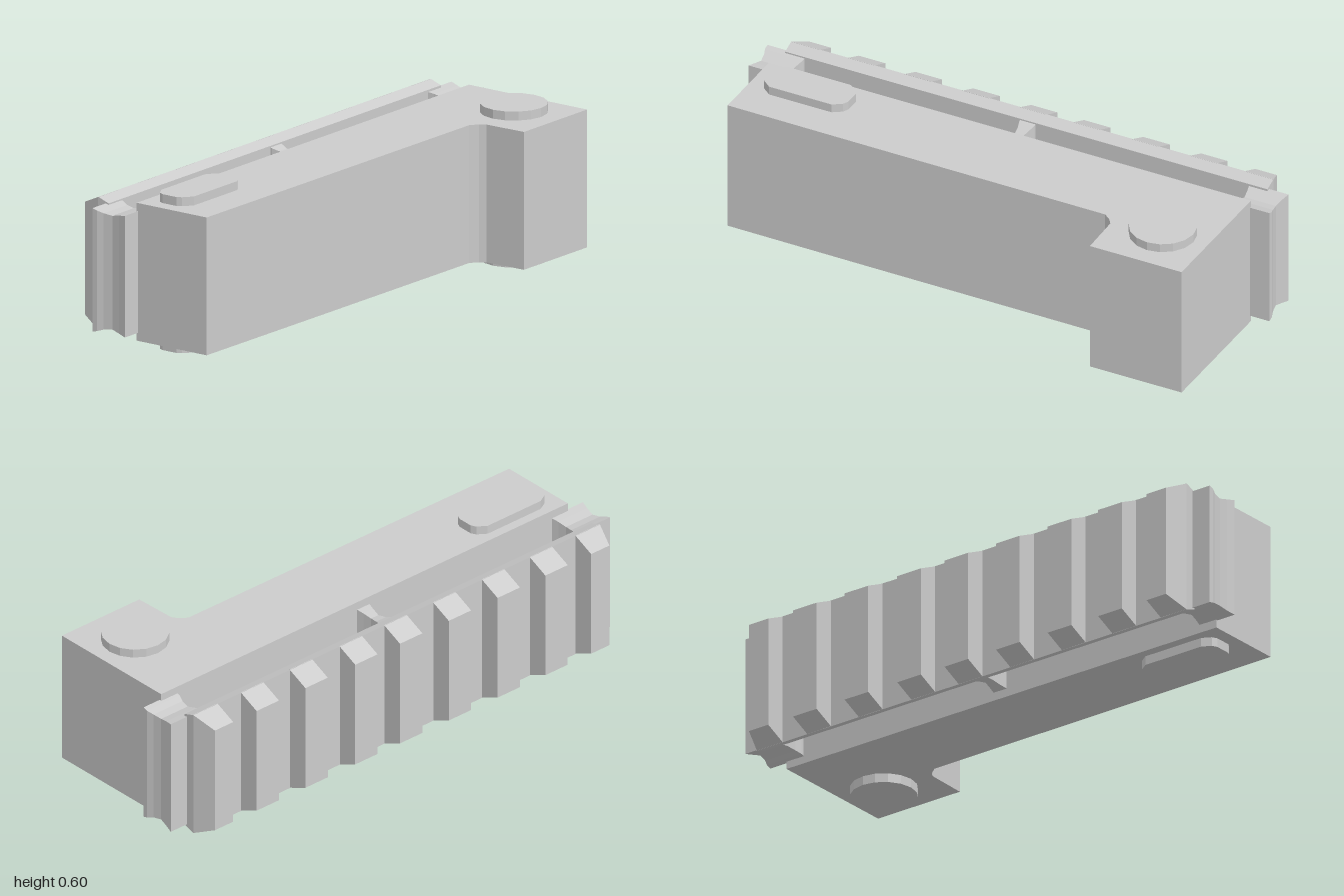
import * as THREE from 'three';

const MID = 0.298; // mid height of the whole model

export function createModel() {
  const model = new THREE.Group();
  const material = new THREE.MeshStandardMaterial({ color: 0xcccccc, flatShading: true });

  const add = (name, geometry) => {
    const mesh = new THREE.Mesh(geometry, material);
    mesh.name = name;
    model.add(mesh);
    return mesh;
  };

  // Extrudes an outline of [x, z] points from y0 up to y1
  const slab = (name, outline, y0, y1) => {
    const shape = new THREE.Shape(outline.map(([x, z]) => new THREE.Vector2(x, -z)));
    const geometry = new THREE.ExtrudeGeometry(shape, { depth: y1 - y0, bevelEnabled: false });
    geometry.rotateX(-Math.PI / 2).translate(0, y0, 0);
    return add(name, geometry);
  };

  // Lofts rectangles along z; each section is [z, xMin, xMax, half height]
  const loft = (name, sections) => {
    const n = sections.length - 1;
    const geometry = new THREE.BoxGeometry(1, 1, 1, 1, 1, n);
    const p = geometry.attributes.position;
    for (let i = 0; i < p.count; i++) {
      const [z, x0, x1, h] = sections[Math.round((p.getZ(i) + 0.5) * n)];
      p.setXYZ(i, p.getX(i) < 0 ? x0 : x1, MID + Math.sign(p.getY(i)) * h, z);
    }
    geometry.computeVertexNormals();
    return add(name, geometry);
  };

  // L-shaped body with a filleted inner corner
  slab('body', [
    [-1, -0.142], [1, -0.142], [1, 0.405], [0.62, 0.405], [0.615, 0.235],
    [0.6, 0.213], [0.57, 0.19], [-0.4, 0.186], [-1, 0.182],
  ], 0.035, 0.561);

  // Oblong pads and round pads, above and below the body
  const pad = [
    [-0.945, -0.065], [-0.935, -0.085], [-0.9, -0.104], [-0.64, -0.104], [-0.605, -0.08], [-0.595, -0.06],
    [-0.595, 0], [-0.605, 0.022], [-0.64, 0.046], [-0.9, 0.046], [-0.935, 0.018], [-0.945, 0],
  ];
  for (const [side, y0, y1] of [['lower', 0, 0.05], ['upper', 0.55, 0.595]]) {
    slab(side + 'OblongPad', pad, y0, y1);
    const disc = add(side + 'RoundPad', new THREE.CylinderGeometry(0.126, 0.126, y1 - y0, 16));
    disc.position.set(0.818, (y0 + y1) / 2, 0.206);
  }

  // Waisted posts between body and rail, with open windows between them
  const post = (name, cx, inner, waist, outer) => loft(name, [
    [-0.285, cx - (outer || inner), cx + inner, 0.236],
    [-0.265, cx - (outer || inner), cx + inner, 0.23],
    [-0.24, cx - (outer || waist + 0.006), cx + waist + 0.006, 0.222],
    [-0.205, cx - (outer || waist), cx + waist, 0.217],
    [-0.17, cx - (outer || waist + 0.006), cx + waist + 0.006, 0.225],
    [-0.135, cx - (outer || inner), cx + inner, 0.232],
  ]);
  post('centrePost', 0.006, 0.032, 0.018);
  post('rightPost', -1, 0.08, 0.065, 0);
  const leftPost = post('leftPost', -1, 0.08, 0.065, 0);
  leftPost.rotation.y = Math.PI; // turned round, then moved back behind the body
  leftPost.position.z = -0.42;

  // Rail bar
  loft('railBar', [[-0.32, -1, 1, 0.255], [-0.272, -1, 1, 0.238]]);

  // Rail teeth: the end teeth lean inwards at the outside
  const teeth = [
    [-1, -0.88], [-0.765, -0.655], [-0.53, -0.42], [-0.29, -0.18], [-0.05, 0.06],
    [0.17, 0.28], [0.415, 0.525], [0.655, 0.765], [0.88, 1],
  ];
  teeth.forEach(([x0, x1], i) => {
    const tip = (x) => (Math.abs(x) === 1 ? x * 0.97 : x);
    loft('railTooth' + (i + 1), [[-0.405, tip(x0), tip(x1), 0.215], [-0.318, x0, x1, 0.255]]);
  });

  return model;
}
